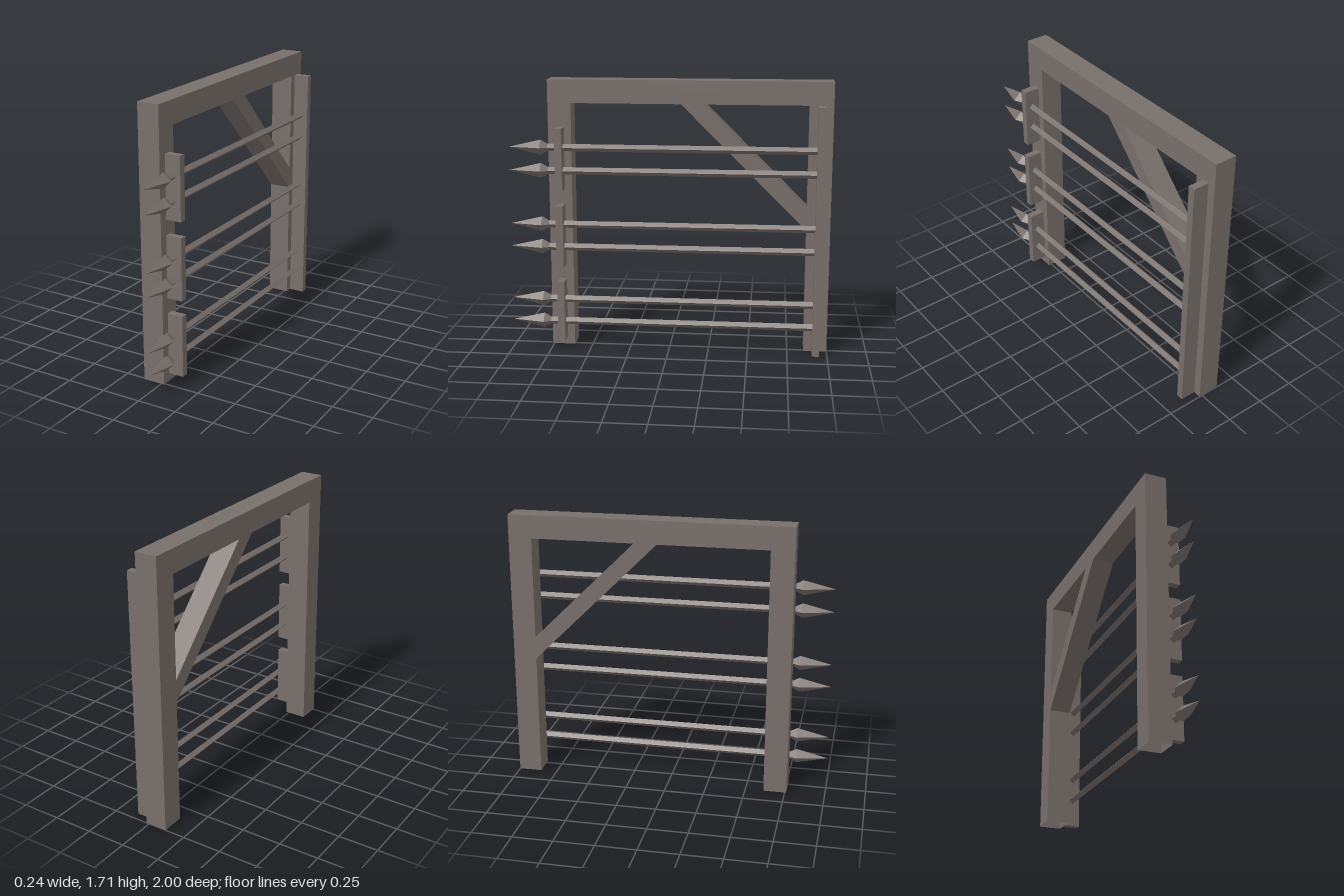
import * as THREE from 'three';

export function createModel() {
  const model = new THREE.Group();
  model.name = 'spikedGate';
  const wood = new THREE.MeshStandardMaterial({ color: 0x786f6a, flatShading: true, side: THREE.DoubleSide });
  wood.name = 'weathered grey brown';

  const add = (name, geometry) => {
    const mesh = new THREE.Mesh(geometry, wood);
    mesh.name = name;
    model.add(mesh);
    return mesh;
  };

  // Box given by its limits on each axis
  const box = (x0, x1, y0, y1, z0, z1) =>
    new THREE.BoxGeometry(x1 - x0, y1 - y0, z1 - z0)
      .translate((x0 + x1) / 2, (y0 + y1) / 2, (z0 + z1) / 2);

  // Drops the top and bottom faces, leaving an open tube
  const openEnds = (geometry) => {
    const index = Array.from(geometry.index.array);
    geometry.setIndex([...index.slice(0, 12), ...index.slice(24)]);
    geometry.clearGroups();
    return geometry;
  };

  // Main frame: two posts under a top beam
  const X0 = -0.12, X1 = 0.02, BEAM = 1.565;
  add('frontPost', openEnds(box(X0, X1, 0, BEAM, 0.615, 0.76)));
  add('backPost', openEnds(box(X0, X1, 0, BEAM, -1, -0.855)));
  add('topBeam', box(X0, X1, BEAM, 1.71, -1, 0.76));

  // Diagonal brace, drawn in the z-y plane
  const braceShape = new THREE.Shape([
    new THREE.Vector2(-0.07, BEAM),
    new THREE.Vector2(-0.21, BEAM),
    new THREE.Vector2(-0.855, 0.925),
    new THREE.Vector2(-0.855, 0.785),
  ]);
  add('brace', new THREE.ExtrudeGeometry(braceShape, { depth: X1 - X0, bevelEnabled: false })
    .rotateY(-Math.PI / 2).translate(X1, 0, 0));

  // Upright strip holding the back ends of the rods
  add('backStrip', box(X1, 0.12, 0, BEAM, -0.95, -0.905));

  // Diamond-section rod and four-sided spear head, both along z
  const ROD = 0.023, ROD_BACK = -0.91, ROD_FRONT = 0.755;
  const rod = new THREE.CylinderGeometry(ROD, ROD, ROD_FRONT - ROD_BACK, 4)
    .rotateX(Math.PI / 2).translate(0, 0, (ROD_FRONT + ROD_BACK) / 2);
  const head = new THREE.LatheGeometry([
    new THREE.Vector2(0, 0.755),
    new THREE.Vector2(ROD, 0.755),
    new THREE.Vector2(0.047, 0.8),
    new THREE.Vector2(0, 1),
  ], 4).rotateX(Math.PI / 2);

  // Three brackets, each carrying a pair of spears
  for (const y of [0.247, 0.735, 1.222]) {
    add('frontBracket', box(X1, 0.12, y - 0.195, y + 0.195, 0.66, 0.705));
    for (const side of [-1, 1]) {
      add('spearRod', rod).position.set(0.07, y + side * 0.073, 0);
      add('spearHead', head).position.set(0.07, y + side * 0.073, 0);
    }
  }
  return model;
}
